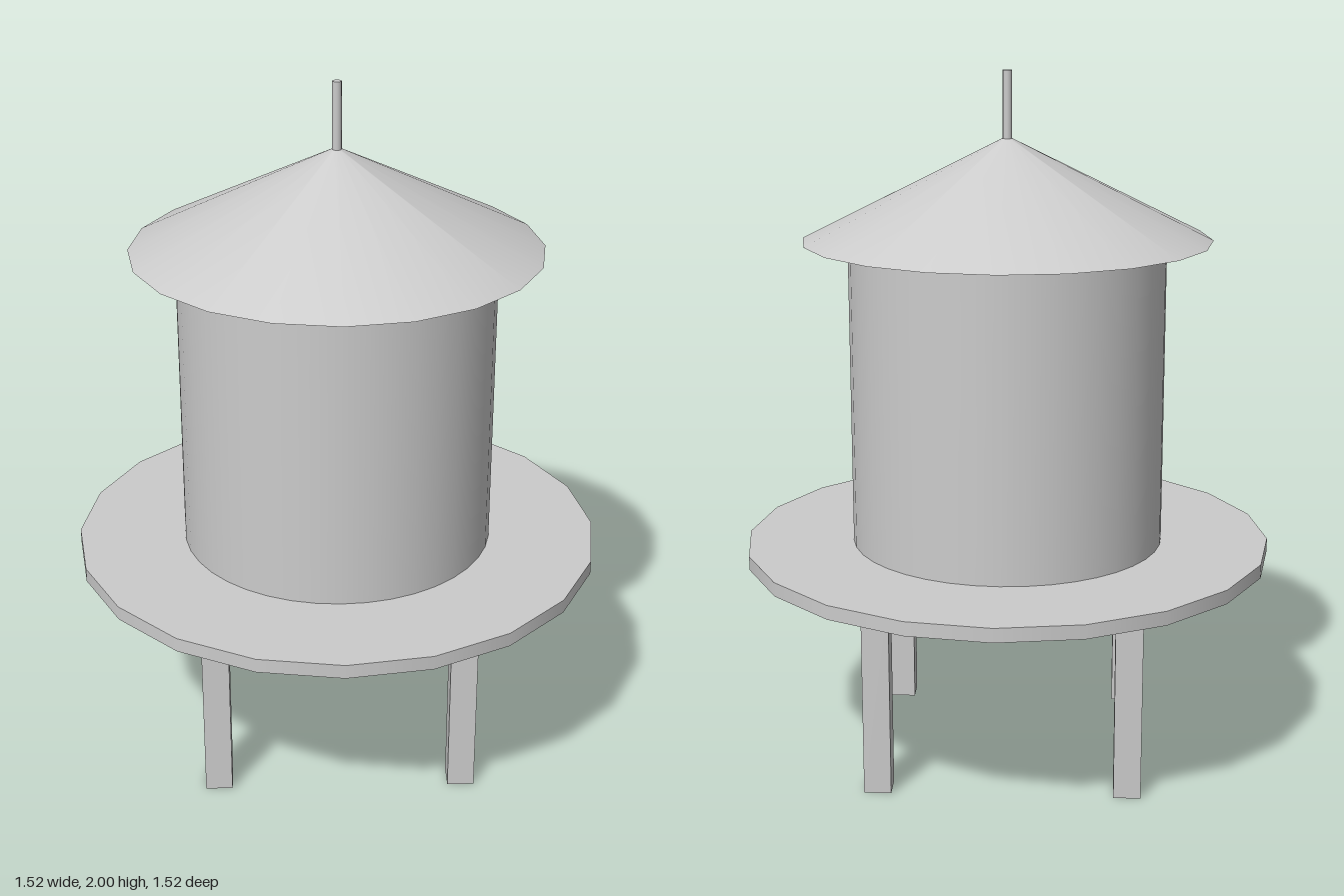
import * as THREE from 'three';
import { toCreasedNormals } from 'three/addons/utils/BufferGeometryUtils.js';

const SIDES = 20;

export function createModel() {
  const model = new THREE.Group();
  const material = new THREE.MeshStandardMaterial({ color: 0xcccccc });

  const add = (name, geometry, x, y, z) => {
    const mesh = new THREE.Mesh(geometry, material);
    mesh.name = name;
    mesh.position.set(x, y, z);
    model.add(mesh);
    return mesh;
  };
  const cylinder = (radius, bottom, top, sides = SIDES) =>
    new THREE.CylinderGeometry(radius, radius, top - bottom, sides).translate(0, (bottom + top) / 2, 0);

  // Four square legs
  for (const x of [-0.356, 0.351]) {
    for (const z of [-0.34, 0.356]) {
      add('leg', new THREE.BoxGeometry(0.077, 0.585, 0.077), x, 0.2925, z);
    }
  }

  // Square slab under the round walkway
  add('baseSlab', new THREE.BoxGeometry(0.9, 0.035, 0.9), 0, 0.5985, 0);
  add('walkway', cylinder(0.76, 0.613, 0.653), 0, 0, 0);

  // Tank body reaching up into the roof
  add('tank', cylinder(0.45, 0.64, 1.57, 40), 0, 0, 0);

  // Conical roof with a shallow recess around the top of the tank
  const roofProfile = [[0, 1.56], [0.45, 1.56], [0.48, 1.53], [0.58, 1.53], [0.015, 1.812], [0, 1.812]]
    .map(([r, y]) => new THREE.Vector2(r, y));
  add('roof', toCreasedNormals(new THREE.LatheGeometry(roofProfile, SIDES), 0.4), 0, 0, 0);

  // Thin mast on the peak
  add('mast', cylinder(0.013, 1.79, 2, 12), 0, 0, 0);

  return model;
}
